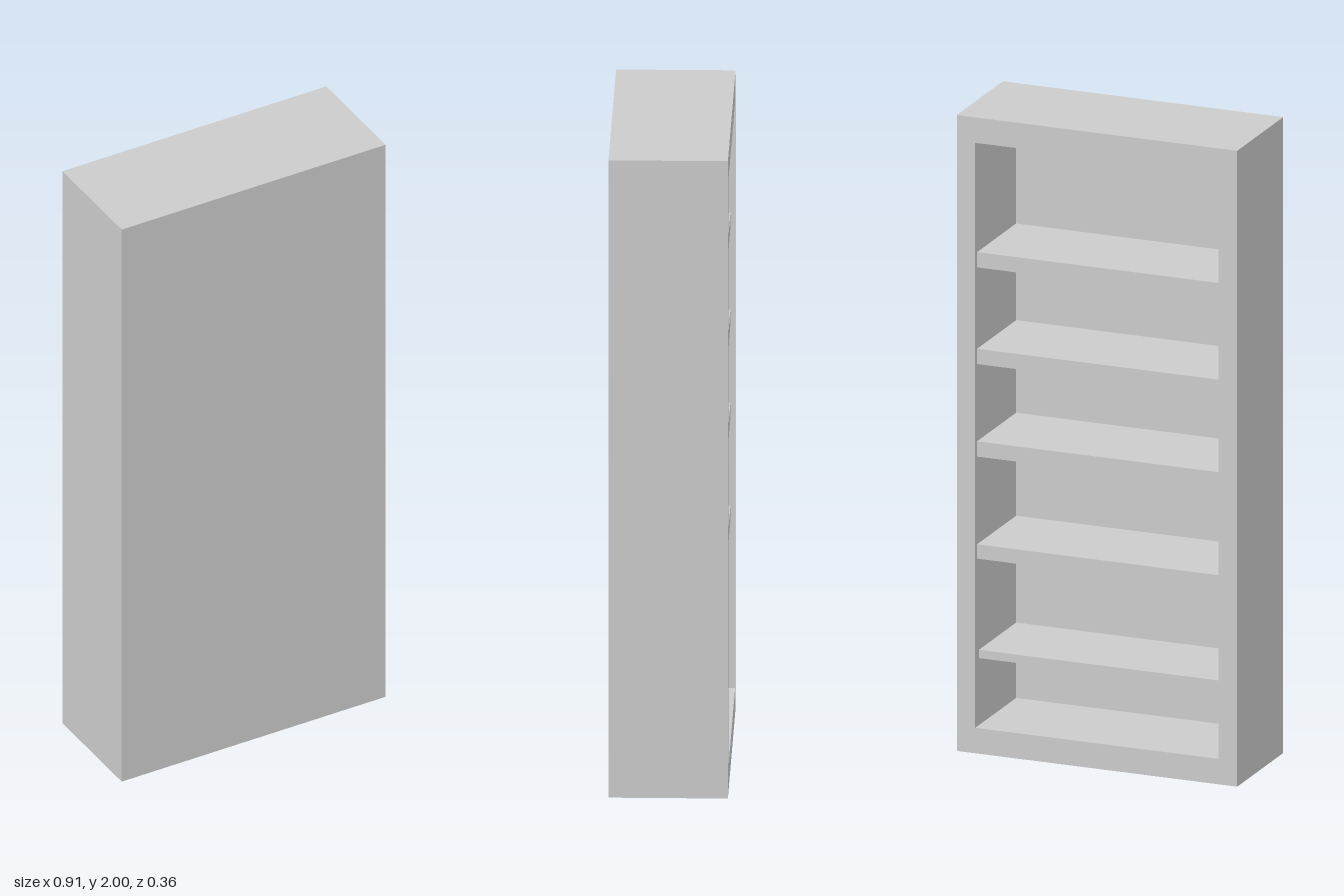
import * as THREE from 'three';

const W = 0.91, H = 2, D = 0.358;          // outer size
const SIDE = 0.06, RAIL = 0.08, PANEL = 0.04; // wall thicknesses

export function createModel() {
  const group = new THREE.Group();
  group.name = 'bookcase';
  const material = new THREE.MeshStandardMaterial({ color: 0xcccccc });

  const add = (name, geometry, x, y, z) => {
    const mesh = new THREE.Mesh(geometry, material);
    mesh.name = name;
    mesh.position.set(x, y, z);
    group.add(mesh);
  };

  const rectangle = (Type, w, y0, y1) => new Type([
    new THREE.Vector2(-w / 2, y0), new THREE.Vector2(w / 2, y0),
    new THREE.Vector2(w / 2, y1), new THREE.Vector2(-w / 2, y1),
  ]);

  // Carcass: sides, top and base as one rectangular ring, open towards -z
  const innerW = W - 2 * SIDE;
  const ring = rectangle(THREE.Shape, W, 0, H);
  ring.holes.push(rectangle(THREE.Path, innerW, RAIL, H - RAIL));
  add('carcass', new THREE.ExtrudeGeometry(ring, { depth: D - PANEL, bevelEnabled: false }), 0, 0, -D / 2);

  // Closed panel on the +z side
  add('panel', new THREE.BoxGeometry(W, H, PANEL), 0, H / 2, D / 2 - PANEL / 2);

  // Shelves: [top height, thickness, setback from the open edge]
  const shelves = [
    [1.572, 0.048, 0.014], [1.268, 0.048, 0.014], [0.977, 0.048, 0.014],
    [0.653, 0.045, 0.014], [0.317, 0.026, 0.028],
  ];
  shelves.forEach(([top, thickness, setback], i) => {
    const depth = D - PANEL - setback;
    add(`shelf${i + 1}`, new THREE.BoxGeometry(innerW, thickness, depth),
      0, top - thickness / 2, D / 2 - PANEL - depth / 2);
  });

  return group;
}
